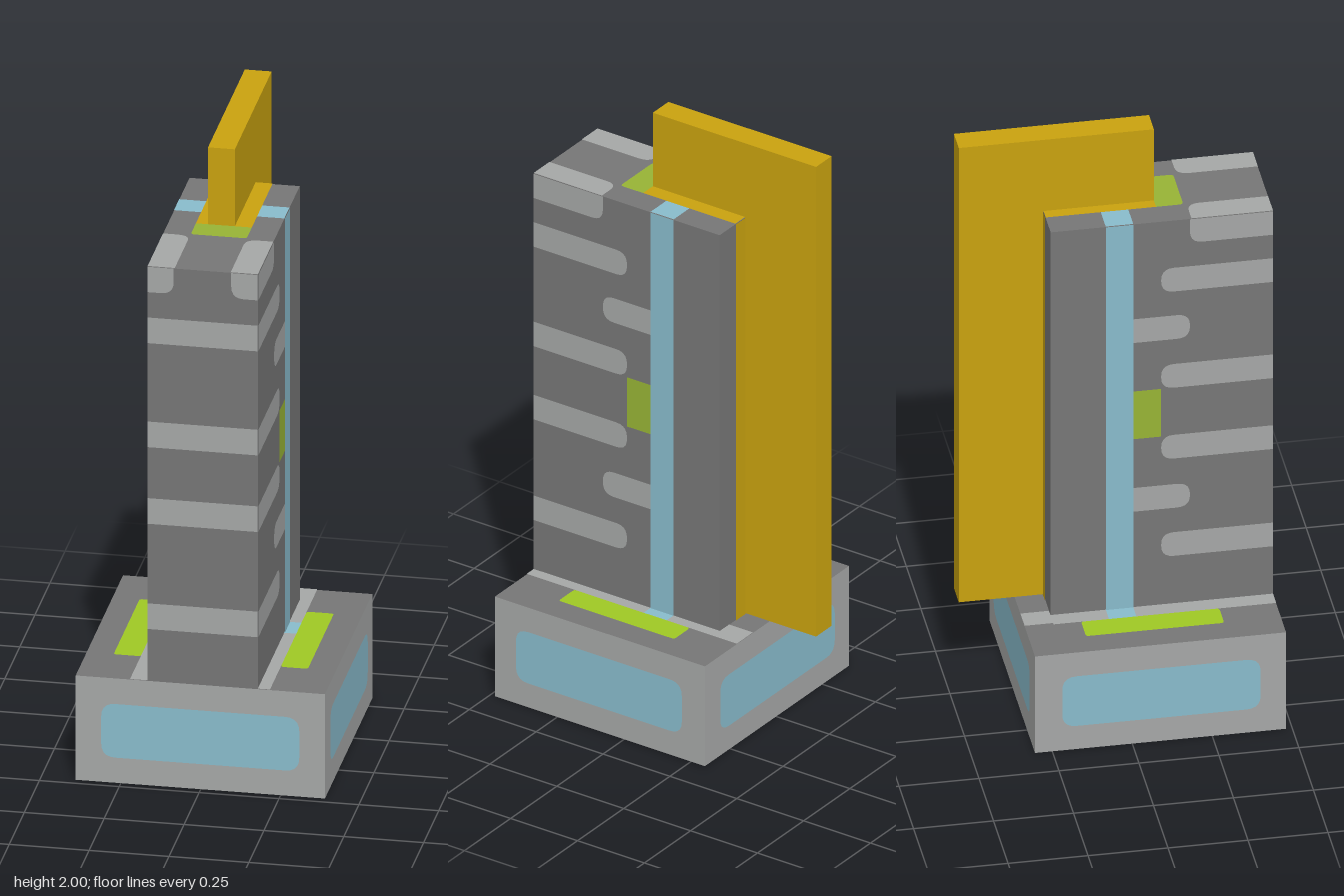
import * as THREE from 'three';

const mat = (name, color) => {
  const m = new THREE.MeshStandardMaterial({ color });
  m.name = name;
  return m;
};

export function createModel() {
  const model = new THREE.Group();
  model.name = 'tower';
  const lightGrey = mat('light grey', 0xa5a7a6);
  const darkGrey = mat('dark grey', 0x767676);
  const blue = mat('pale blue', 0x88bbcb);
  const gold = mat('gold', 0xc9a20f);
  const lime = mat('lime', 0x9fc824);
  const moss = mat('moss green', 0x97b335);
  const darkRed = mat('dark red', 0x7c0018);

  const box = (name, material, [x0, x1], [y0, y1], [z0, z1]) => {
    const mesh = new THREE.Mesh(new THREE.BoxGeometry(x1 - x0, y1 - y0, z1 - z0), material);
    mesh.position.set((x0 + x1) / 2, (y0 + y1) / 2, (z0 + z1) / 2);
    mesh.name = name;
    model.add(mesh);
  };

  // Rectangle with a radius per corner: lower left, lower right, upper right, upper left
  const panel = (u0, u1, v0, v1, [a, b, c, d] = [0, 0, 0, 0]) => {
    const s = new THREE.Shape();
    s.moveTo(u0 + a, v0);
    s.lineTo(u1 - b, v0);
    if (b) s.quadraticCurveTo(u1, v0, u1, v0 + b);
    s.lineTo(u1, v1 - c);
    if (c) s.quadraticCurveTo(u1, v1, u1 - c, v1);
    s.lineTo(u0 + d, v1);
    if (d) s.quadraticCurveTo(u0, v1, u0, v1 - d);
    s.lineTo(u0, v0 + a);
    if (a) s.quadraticCurveTo(u0, v0, u0 + a, v0);
    return new THREE.ShapeGeometry(s, 5);
  };

  // Lay a painted panel on one face. Top panels use v = -z, right panels u = -z, left panels u = z
  const turn = {
    front: [0, 0, 0], back: [0, Math.PI, 0], right: [0, Math.PI / 2, 0],
    left: [0, -Math.PI / 2, 0], top: [-Math.PI / 2, 0, 0], bottom: [Math.PI / 2, 0, 0],
  };
  const normal = {
    front: [0, 0, 1], back: [0, 0, -1], right: [1, 0, 0],
    left: [-1, 0, 0], top: [0, 1, 0], bottom: [0, -1, 0],
  };
  const paint = (name, material, face, level, geometry, lift = 0.002) => {
    const mesh = new THREE.Mesh(geometry, material);
    mesh.rotation.set(...turn[face]);
    const sign = normal[face].reduce((p, q) => p + q);
    mesh.position.set(...normal[face]).multiplyScalar(sign * level + lift);
    mesh.name = name;
    model.add(mesh);
  };
  const onTop = (name, material, y, x0, x1, z0, z1, r) =>
    paint(name, material, 'top', y, panel(x0, x1, -z1, -z0, r));
  // Same panel on both tower flanks; radii are for the rear and front ends
  const onFlanks = (name, material, z0, z1, y0, y1, rear = 0, front = 0) => {
    paint(name, material, 'right', 0.18, panel(-z1, -z0, y0, y1, [front, rear, rear, front]));
    paint(name, material, 'left', -0.165, panel(z0, z1, y0, y1, [rear, front, front, rear]));
  };

  // Solid parts
  box('base', [lightGrey, lightGrey, darkGrey, lightGrey, lightGrey, lightGrey],
    [-0.39, 0.39], [0, 0.35], [-0.305, 0.48]);
  box('towerBody', darkGrey, [-0.165, 0.18], [0.35, 1.74], [-0.215, 0.48]);
  box('rearFin', gold, [-0.042, 0.042], [0.352, 2], [-0.48, -0.215]);
  box('roofFin', gold, [-0.042, 0.042], [1.74, 2], [-0.215, 0.13]);

  // Windows round the base
  const r = [0.045, 0.045, 0.045, 0.045];
  paint('frontWindow', blue, 'front', 0.48, panel(-0.31, 0.31, 0.085, 0.265, r));
  paint('backWindow', blue, 'back', -0.305, panel(-0.31, 0.31, 0.085, 0.265, r));
  paint('rightWindow', blue, 'right', 0.39, panel(-0.4, 0.22, 0.085, 0.265, r));
  paint('leftWindow', blue, 'left', -0.39, panel(-0.22, 0.4, 0.085, 0.265, r));

  // Base deck: light walkways, blue crossings and lime lawns
  for (const [x0, x1, b0, b1, l0, l1] of [
    [-0.22, -0.165, -0.212, -0.14, -0.305, -0.22],
    [0.18, 0.218, 0.13, 0.218, 0.218, 0.303],
  ]) {
    onTop('frontWalkway', lightGrey, 0.35, x0, x1, 0.043, 0.48);
    onTop('crossing', blue, 0.35, x0, x1, -0.043, 0.043);
    onTop('rearWalkway', lightGrey, 0.35, x0, x1, -0.216, -0.043);
    onTop('backWalkway', lightGrey, 0.35, b0, b1, -0.305, -0.216);
    onTop('lawn', lime, 0.35, l0, l1, -0.13, 0.302, [0.01, 0.01, 0.01, 0.01]);
  }

  // Tower roof
  onTop('roofStripe', gold, 1.74, -0.08, 0.095, -0.215, 0.13);
  onTop('roofGarden', moss, 1.74, -0.08, 0.095, 0.13, 0.215, [0.012, 0.012, 0, 0]);
  onTop('roofBand', blue, 1.74, -0.165, -0.08, -0.043, 0.043);
  onTop('roofBand', blue, 1.74, 0.095, 0.18, -0.043, 0.043);
  onTop('roofCorner', lightGrey, 1.74, -0.165, -0.08, 0.225, 0.48, [0, 0, 0.04, 0]);
  onTop('roofCorner', lightGrey, 1.74, 0.095, 0.18, 0.225, 0.48, [0, 0, 0, 0.04]);

  // Gold stripe up the back
  paint('backStripe', gold, 'back', -0.215, panel(-0.095, 0.08, 0.35, 1.74));

  // Blue column, garden and light corner on each flank
  onFlanks('sideColumn', blue, -0.043, 0.043, 0.35, 1.74);
  onFlanks('sideGarden', moss, 0.043, 0.13, 0.962, 1.135);
  paint('sideCorner', lightGrey, 'right', 0.18, panel(-0.48, -0.22, 1.655, 1.74, [0, 0.04, 0, 0]));
  paint('sideCorner', lightGrey, 'left', -0.165, panel(0.22, 0.48, 1.655, 1.74, [0.04, 0, 0, 0]));
  paint('frontCorner', lightGrey, 'front', 0.48, panel(-0.165, -0.083, 1.655, 1.74, [0, 0.04, 0, 0]));
  paint('frontCorner', lightGrey, 'front', 0.48, panel(0.097, 0.18, 1.655, 1.74, [0.04, 0, 0, 0]));

  // Floor bands wrapping the front, and short bands beside the column
  for (const y of [0.568, 0.921, 1.178, 1.527]) {
    paint('frontBand', lightGrey, 'front', 0.48, panel(-0.165, 0.18, y - 0.043, y + 0.043));
    onFlanks('sideBand', lightGrey, 0.13, 0.48, y - 0.043, y + 0.043, 0.04, 0);
  }
  for (const y of [0.742, 1.354]) {
    onFlanks('shortBand', lightGrey, 0.043, 0.22, y - 0.043, y + 0.043, 0, 0.04);
  }

  // Underside: blue frame, dark centre and a cross of red feet
  const zc = 0.088;
  const under = (name, material, x, z, h, radius, lift) =>
    paint(name, material, 'bottom', 0,
      panel(x - h, x + h, z - h, z + h, [radius, radius, radius, radius]), lift);
  under('underFrame', blue, 0, zc, 0.305, 0.03, 0.001);
  under('underCentre', darkGrey, 0, zc, 0.235, 0.01, 0.002);
  for (let i = -2; i <= 2; i++) {
    for (const s of i ? [-1, 1] : [1]) {
      under('underSpot', darkRed, i * 0.087, zc + s * i * 0.087, 0.035, 0.018, 0.003);
    }
  }
  return model;
}
